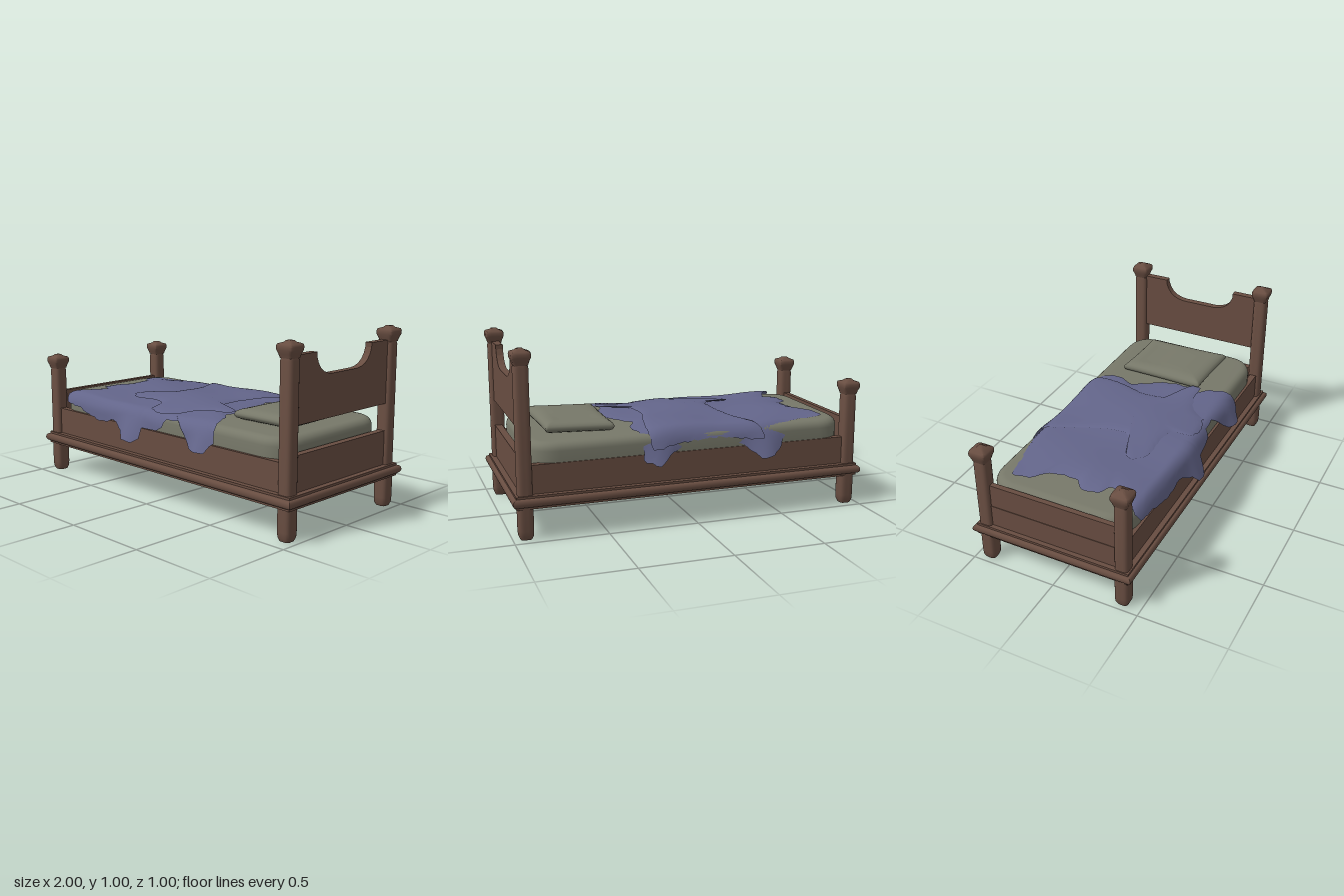
import * as THREE from 'three';
import { toCreasedNormals, mergeVertices } from 'three/addons/utils/BufferGeometryUtils.js';

const ZC = -0.015; // middle of the frame in z
const wood = new THREE.MeshStandardMaterial({ name: 'brown wood', color: 0x684d41 });
const linen = new THREE.MeshStandardMaterial({ name: 'grey green linen', color: 0x777869 });
const wool = new THREE.MeshStandardMaterial({ name: 'blue wool', color: 0x63658a, side: THREE.DoubleSide });

function add(group, name, geometry, material, x = 0, y = 0, z = 0) {
  const mesh = new THREE.Mesh(geometry, material);
  mesh.name = name;
  mesh.position.set(x, y, z);
  group.add(mesh);
  return mesh;
}

// Lathe pressed into a rounded square; profile is [half width, y]
function squareLathe(profile, power) {
  const g = new THREE.LatheGeometry(profile.map(([r, y]) => new THREE.Vector2(r, y)), 32);
  const p = g.attributes.position;
  for (let i = 0; i < p.count; i++) {
    const x = p.getX(i), z = p.getZ(i), r = Math.hypot(x, z);
    if (r < 1e-6) continue;
    const f = (Math.abs(x / r) ** power + Math.abs(z / r) ** power) ** (-1 / power);
    p.setX(i, x * f);
    p.setZ(i, z * f);
  }
  return toCreasedNormals(g, 1);
}

function roundedRect(hx, hy, r) {
  const s = new THREE.Shape();
  s.moveTo(-hx + r, -hy);
  s.lineTo(hx - r, -hy).quadraticCurveTo(hx, -hy, hx, -hy + r);
  s.lineTo(hx, hy - r).quadraticCurveTo(hx, hy, hx - r, hy);
  s.lineTo(-hx + r, hy).quadraticCurveTo(-hx, hy, -hx, hy - r);
  s.lineTo(-hx, -hy + r).quadraticCurveTo(-hx, -hy, -hx + r, -hy);
  return s;
}

function rect(Type, hx, hy) {
  return new Type([[-hx, -hy], [hx, -hy], [hx, hy], [-hx, hy]].map(([x, y]) => new THREE.Vector2(x, y)));
}

// Flat frame lying on y = 0 with an optional rounded edge
function ring(hx, hz, ix, iz, height, bevel) {
  const s = rect(THREE.Shape, hx - bevel, hz - bevel);
  s.holes.push(rect(THREE.Path, ix, iz));
  const g = new THREE.ExtrudeGeometry(s, {
    depth: height - 2 * bevel, bevelEnabled: bevel > 0, bevelSize: bevel, bevelThickness: bevel, bevelSegments: 4,
  });
  g.rotateX(-Math.PI / 2).translate(0, bevel, 0);
  return toCreasedNormals(g, 0.8);
}

function post(group, name, x, z, h) {
  const g = new THREE.Group();
  g.name = name;
  g.position.set(x, 0, z);
  add(g, 'shaft', squareLathe([[0, 0], [0.03, 0], [0.039, 0.02], [0.041, 0.05], [0.041, 0.2],
    [0.039, 0.24], [0.039, h - 0.1], [0.034, h - 0.08], [0, h - 0.08]], 4), wood);
  add(g, 'cap', squareLathe([[0, h - 0.086], [0.037, h - 0.086], [0.043, h - 0.066], [0.051, h - 0.047],
    [0.052, h - 0.03], [0.048, h - 0.018], [0.024, h - 0.01], [0.016, h - 0.002], [0, h]], 8), wood);
  group.add(g);
}

// Headboard with a scooped top, drawn in (z, y)
function headboard() {
  const s = new THREE.Shape();
  s.moveTo(-0.40, 0.58);
  s.lineTo(0.40, 0.58);
  s.lineTo(0.40, 0.925);
  s.lineTo(0.225, 0.925);
  s.lineTo(0.225, 0.90);
  s.quadraticCurveTo(0.20, 0.81, 0.10, 0.805);
  s.lineTo(-0.10, 0.805);
  s.quadraticCurveTo(-0.20, 0.81, -0.225, 0.90);
  s.lineTo(-0.225, 0.925);
  s.lineTo(-0.40, 0.925);
  const g = new THREE.ExtrudeGeometry(s, { depth: 0.04, bevelEnabled: false, curveSegments: 5 });
  return g.translate(0, 0, -0.02).rotateY(Math.PI / 2);
}

function mattress() {
  const b = 0.045;
  const g = new THREE.ExtrudeGeometry(roundedRect(0.91 - b, 0.415 - b, 0.12), {
    depth: 0.22 - 2 * b, bevelSize: b, bevelThickness: b, bevelSegments: 5, curveSegments: 8,
  });
  g.rotateX(-Math.PI / 2).translate(0, b, 0);
  return toCreasedNormals(g, 0.9);
}

// Pillow: a box with rounded rims and a soft, uneven top
function pillow() {
  let g = new THREE.BoxGeometry(2, 2, 2, 24, 4, 30);
  g.deleteAttribute('uv');
  g.deleteAttribute('normal');
  g = mergeVertices(g);
  const p = g.attributes.position;
  for (let i = 0; i < p.count; i++) {
    const x = p.getX(i), y = p.getY(i), z = p.getZ(i);
    const d = Math.min(1 - Math.abs(x), (1 - Math.abs(z)) * 1.35);
    const thick = 0.02 + 0.013 * Math.sqrt(Math.min(1, d / 0.25)) + 0.005 * Math.sin(z * 3 + 0.6) * Math.min(1, d * 2);
    const pinch = 1 - 0.02 * (1 - x * x) * Math.abs(z) - 0.02 * (1 - z * z) * Math.abs(x) - 0.05 * y * y;
    p.setXYZ(i, x * 0.192 * pinch + 0.006 * z * x, y * thick, z * 0.256 * pinch + 0.01 * x);
  }
  g.computeVertexNormals();
  return g;
}

// Cloth: a flat outline (x, s) filled with rings, then hung over the mattress sides
const bump = (x, c, w) => Math.exp(-(((x - c) / w) ** 2));
function drape(x, s, lift, rim) {
  const side = Math.sign(s), t = Math.max(0, Math.abs(s) - 0.36), r = 0.08;
  const crown = 1 - Math.min(1, Math.abs(s) / 0.36) ** 2;
  const flare = Math.min(1, side > 0
    ? bump(x, -0.19, 0.13) + bump(x, 0.37, 0.1)
    : bump(x, -0.42, 0.13) + bump(x, 0.21, 0.12));
  const steep = 1.5 - 0.38 * flare;
  const bend = Math.min(t / r, steep), rest = Math.max(0, t - r * steep);
  const out = r * Math.sin(bend) + rest * Math.cos(steep) + lift * Math.sin(bend);
  const wave = 0.005 * Math.sin(x * 11 + s * 4 + 2) + 0.004 * Math.sin(s * 13 - x * 5);
  const tuck = rim * (lift > 0 ? 0.009 : 0.002 + 0.014 * crown);
  const y = 0.512 + 0.02 * crown + wave + (lift - tuck) * Math.cos(bend)
    - r * (1 - Math.cos(bend)) - rest * Math.sin(steep);
  return [x, y, side * (Math.min(Math.abs(s), 0.36) + out - 0.012 * Math.min(1, t * 15) * (1 - flare))];
}
function cloth(outline, cx, cs, lift) {
  const N = 180, R = 26, pos = [], index = [];
  const curve = new THREE.CatmullRomCurve3(outline.map(([x, s]) => new THREE.Vector3(x, 0, s)), true, 'catmullrom', 0.3);
  const edge = curve.getSpacedPoints(N).slice(0, N);
  for (let k = 0; k <= R; k++) {
    const f = k / R;
    edge.forEach((e, j) => {
      const ragged = 1 + 0.012 * f ** 8 * Math.sin(j * 1.9) * Math.sin(j * 0.37);
      pos.push(...drape(cx + (e.x - cx) * f * ragged, cs + (e.z - cs) * f * ragged, lift, f ** 10));
    });
  }
  for (let k = 0; k < R; k++) {
    for (let j = 0; j < N; j++) {
      const a = k * N + j, b = k * N + (j + 1) % N, c = a + N, d = b + N;
      if (k > 0) index.push(a, b, c);
      index.push(b, d, c);
    }
  }
  const g = new THREE.BufferGeometry();
  g.setAttribute('position', new THREE.Float32BufferAttribute(pos, 3));
  g.setIndex(index);
  g.computeVertexNormals();
  return g;
}

// Outlines run from the back left corner down the foot side, along the front and back
const blanketOutline = [
  [-0.82, -0.33], [-0.81, -0.22], [-0.74, -0.15], [-0.72, 0], [-0.78, 0.07], [-0.77, 0.16], [-0.70, 0.21], [-0.75, 0.31],
  [-0.82, 0.40], [-0.80, 0.47], [-0.70, 0.48], [-0.58, 0.51], [-0.45, 0.53], [-0.36, 0.51], [-0.27, 0.55], [-0.22, 0.60],
  [-0.14, 0.61], [-0.10, 0.57], [-0.09, 0.51], [0.0, 0.51], [0.05, 0.48], [0.07, 0.43], [0.19, 0.42], [0.25, 0.50], [0.30, 0.56],
  [0.37, 0.57], [0.43, 0.55], [0.46, 0.47], [0.41, 0.30], [0.35, 0.22], [0.39, 0.13], [0.38, 0], [0.32, -0.10],
  [0.27, -0.18], [0.32, -0.28], [0.29, -0.42], [0.29, -0.55], [0.21, -0.595], [0.12, -0.52], [-0.02, -0.48], [-0.2, -0.48],
  [-0.3, -0.53], [-0.38, -0.605], [-0.46, -0.595], [-0.53, -0.51], [-0.58, -0.40], [-0.68, -0.36],
];
const foldOutline = [
  [-0.40, -0.50], [-0.37, -0.38], [-0.31, -0.25], [-0.26, -0.08], [-0.25, 0.05], [-0.31, 0.12], [-0.42, 0.14], [-0.44, 0.19],
  [-0.36, 0.25], [-0.2, 0.25], [-0.11, 0.28], [-0.08, 0.38], [0.02, 0.40], [0.11, 0.36], [0.17, 0.28], [0.28, 0.24],
  [0.37, 0.24], [0.38, 0.18], [0.28, 0.14], [0.20, 0.10], [0.18, -0.05], [0.22, -0.2], [0.25, -0.36], [0.24, -0.5],
  [0.1, -0.48], [-0.15, -0.46],
];

export function createModel() {
  const bed = new THREE.Group();
  bed.name = 'bed';

  // Corner posts and side boards
  for (const side of [1, -1]) {
    const label = side > 0 ? 'Front' : 'Back';
    post(bed, 'headPost' + label, 0.93, ZC + side * 0.408, 1);
    post(bed, 'footPost' + label, -0.938, ZC + side * 0.408, 0.73);
    add(bed, 'sideBoard' + label, new THREE.BoxGeometry(1.84, 0.17, 0.04), wood, 0, 0.31, ZC + side * 0.405);
  }

  // Base frame with a rounded bead around it
  add(bed, 'baseFrame', ring(0.982, 0.455, 0.87, 0.36, 0.07, 0), wood, 0, 0.17, ZC);
  add(bed, 'baseBead', ring(1, 0.475, 0.94, 0.42, 0.046, 0.02), wood, 0, 0.182, ZC);

  // End boards
  add(bed, 'headboard', headboard(), wood, 0.93, 0, ZC);
  add(bed, 'headEndBoard', new THREE.BoxGeometry(0.04, 0.21, 0.8), wood, 0.93, 0.325, ZC);
  for (const [i, y] of [0.298, 0.432].entries()) {
    add(bed, 'footPlank' + (i + 1), new THREE.BoxGeometry(0.036 - i * 0.006, 0.134, 0.8), wood, -0.938, y, ZC);
  }

  // Slats under the mattress
  for (let i = 0; i < 6; i++) {
    const slat = add(bed, 'slat' + (i + 1), new THREE.BoxGeometry(0.23, 0.045, 0.78), wood, -0.725 + i * 0.29, 0.235, ZC);
    slat.rotation.y = 0.03 * Math.sin(i * 2.3);
    slat.rotation.z = -0.08 + 0.05 * Math.sin(i * 1.7);
  }

  // Bedding
  add(bed, 'mattress', mattress(), linen, -0.008, 0.28, -0.02);
  const cushion = add(bed, 'pillow', pillow(), linen, 0.595, 0.533, -0.032);
  cushion.rotation.z = 0.02;
  add(bed, 'blanket', cloth(blanketOutline, -0.2, 0.05, 0), wool);
  add(bed, 'blanketFold', cloth(foldOutline, -0.03, 0, 0.014), wool);
  return bed;
}
